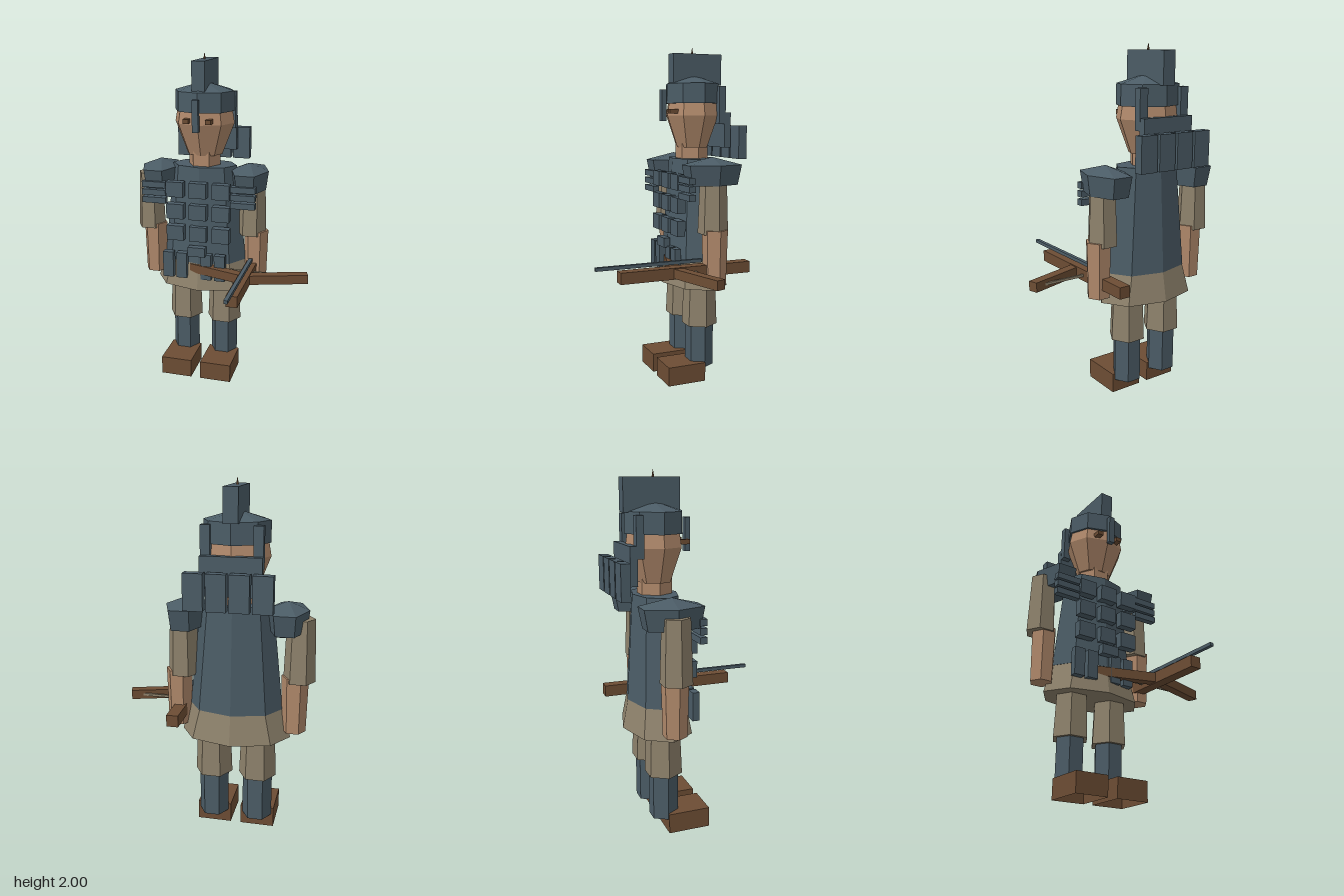
import * as THREE from 'three';

const mat = (name, color) => {
  const m = new THREE.MeshStandardMaterial({ color, flatShading: true, side: THREE.DoubleSide });
  m.name = name;
  return m;
};

export function createModel() {
  const iron = mat('iron', 0x4b5c66);
  const cloth = mat('cloth', 0x8e826c);
  const skin = mat('skin', 0xb0896b);
  const leather = mat('leather', 0x6d4d34);

  const CX = -0.12, CZ = -0.232; // axis of the figure
  const model = new THREE.Group();
  model.name = 'soldier';

  const add = (name, geo, material, x = 0, y = 0, z = 0) => {
    const mesh = new THREE.Mesh(geo, material);
    mesh.name = name;
    mesh.position.set(x, y, z);
    model.add(mesh);
    return mesh;
  };
  // Box given by its limits on each axis
  const box = (name, material, x0, x1, y0, y1, z0, z1) =>
    add(name, new THREE.BoxGeometry(x1 - x0, y1 - y0, Math.abs(z1 - z0)), material,
      (x0 + x1) / 2, (y0 + y1) / 2, (z0 + z1) / 2);
  // Tapered prism; six-sided ones have their corners on the x axis
  const prism = (name, material, x, y0, y1, r0, r1, sides = 6, depth = 1) => {
    const geo = new THREE.CylinderGeometry(r1, r0, y1 - y0, sides);
    if (sides === 6) geo.rotateY(Math.PI / 2);
    geo.scale(1, 1, depth);
    return add(name, geo, material, x, (y0 + y1) / 2, CZ);
  };

  // Legs and hollow boots
  for (const s of [-1, 1]) {
    const x = CX + s * 0.127;
    const boot = new THREE.BoxGeometry(0.195, 0.115, 0.24);
    const kept = Array.from(boot.index.array).filter((_, i) => i < 18 || i >= 24); // open sole
    boot.setIndex(kept);
    boot.clearGroups();
    add('boot', boot, leather, x, 0.0575, -0.11);
    prism('shin', iron, x, 0.08, 0.36, 0.085, 0.085);
    prism('thigh', cloth, x, 0.34, 0.75, 0.107, 0.09);
  }

  // Body
  prism('skirt', cloth, CX, 0.585, 0.79, 0.31, 0.247, 8, 0.63);
  prism('torso', iron, CX, 0.75, 1.345, 0.262, 0.2, 8, 0.63);
  prism('neck', skin, CX, 1.3, 1.46, 0.098, 0.098);

  // Arms and shoulder guards
  for (const s of [-1, 1]) {
    prism('sleeve', cloth, s < 0 ? -0.47 : 0.18, 0.925, 1.275, 0.088, 0.076);
    prism('forearm', skin, CX + s * 0.327, 0.63, 0.95, 0.067, 0.075);
    const x = CX + s * 0.28;
    prism('shoulderGuard', iron, x, 1.205, 1.32, 0.1, 0.115, 6, 1.64);
    prism('shoulderCap', iron, x, 1.32, 1.365, 0.115, 0, 6, 1.64);
    for (let i = 0; i < 3; i++) {
      const y = 1.218 - i * 0.048;
      const inner = CX + s * 0.2, outer = CX + s * 0.348;
      box('shoulderStrip', iron, Math.min(inner, outer), Math.max(inner, outer), y, y + 0.036, -0.1, -0.06);
    }
  }

  // Chest plates
  for (let row = 0; row < 3; row++) {
    for (let col = -1; col <= 1; col++) {
      const x = CX + col * 0.142, y = 1.215 - row * 0.136;
      box('chestPlate', iron, x - 0.053, x + 0.053, y - 0.046, y + 0.046, -0.105, -0.055);
    }
  }

  // Belt buckle and hanging straps
  box('buckle', iron, -0.175, -0.068, 0.81, 0.868, -0.07, -0.028);
  for (const x of [-0.308, -0.222, -0.068, 0.017])
    box('beltStrap', iron, x - 0.033, x + 0.033, 0.655, 0.818, -0.09, -0.05);

  // Head and face
  prism('jaw', skin, CX, 1.41, 1.6, 0.108, 0.183, 8, 0.87);
  prism('brow', skin, CX, 1.6, 1.7, 0.183, 0.165, 8, 0.87);
  for (const s of [-1, 1]) {
    const x = CX + s * 0.067;
    box('eye', leather, x - 0.017, x + 0.017, 1.61, 1.636, -0.12, -0.055);
  }

  // Helmet with nose guard, crest and spike
  prism('helmetBand', iron, CX, 1.67, 1.785, 0.182, 0.18, 8, 0.9);
  prism('helmetDome', iron, CX, 1.785, 1.838, 0.18, 0, 8, 0.9);
  box('noseGuard', iron, -0.14, -0.104, 1.566, 1.75, -0.06, -0.03);
  box('crest', iron, -0.16, -0.082, 1.78, 1.96, -0.408, -0.096);
  add('spike', new THREE.ConeGeometry(0.011, 0.06, 6), leather, CX, 1.97, CZ);

  // Plates behind the head
  for (const s of [-1, 1]) {
    const x = CX + s * 0.138;
    box('sideGuard', iron, x - 0.026, x + 0.026, 1.55, 1.77, -0.377, -0.335);
  }
  box('neckGuard', iron, -0.285, 0.042, 1.41, 1.617, -0.412, -0.372);
  for (let i = 0; i < 4; i++) {
    const x = CX + (i - 1.5) * 0.12;
    box('backPlate', iron, x - 0.053, x + 0.053, 1.345, 1.54, -0.482, -0.43);
  }

  // Crossbow: stock, bolt, swept limbs and string
  const BX = 0.19;
  box('crossbowStock', leather, BX - 0.033, BX + 0.033, 0.684, 0.75, -0.455, 0.345);
  box('crossbowBolt', iron, BX - 0.011, BX + 0.011, 0.765, 0.785, -0.155, 0.48);
  for (const s of [-1, 1]) {
    const limb = add('crossbowLimb', new THREE.BoxGeometry(0.375, 0.055, 0.056), leather,
      BX + s * 0.178, 0.717, -0.045);
    limb.rotation.y = s * 0.3;
  }
  box('crossbowString', cloth, BX - 0.34, BX + 0.34, 0.71, 0.724, -0.107, -0.095);

  return model;
}
